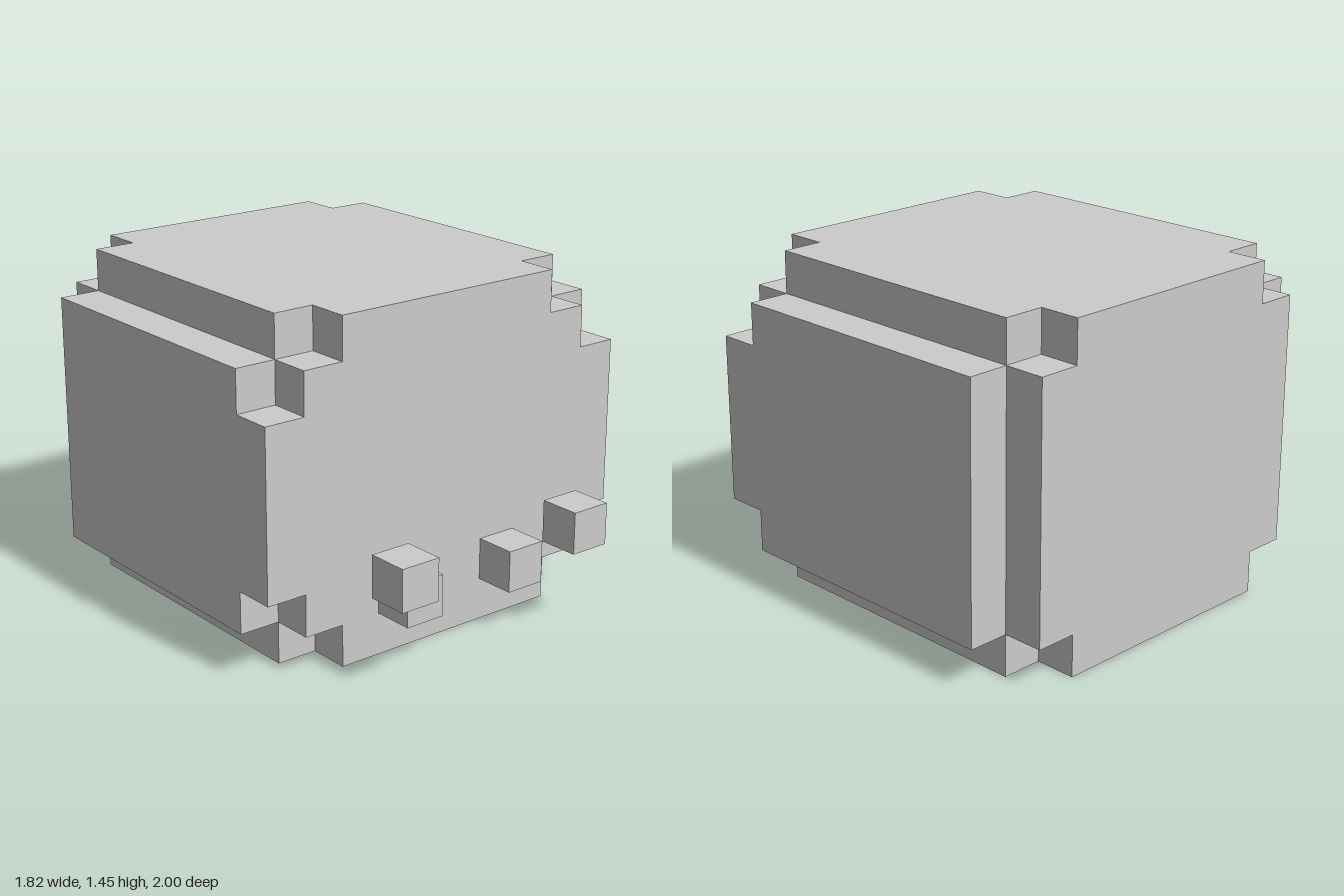
import * as THREE from 'three';

// One block of the grid: the model is 11 blocks deep
const U = 2 / 11;
const material = new THREE.MeshStandardMaterial({ color: 0xcccccc, flatShading: true });

// Outline with stepped corners; steps are [halfWidth, halfHeight] from the top step outwards
function steppedShape(steps) {
  const quarter = [];
  steps.forEach(([w, h], i) => {
    quarter.push([w, h]);
    if (i < steps.length - 1) quarter.push([w, steps[i + 1][1]]);
  });
  const flipped = quarter.slice().reverse();
  const points = [
    ...flipped,
    ...quarter.map(([x, y]) => [-x, y]),
    ...flipped.map(([x, y]) => [-x, -y]),
    ...quarter.map(([x, y]) => [x, -y]),
  ];
  return new THREE.Shape(points.map(([x, y]) => new THREE.Vector2(x * U, (y + 4) * U)));
}

// Slice of the body between two depths
function slice(name, steps, z0, z1) {
  const geometry = new THREE.ExtrudeGeometry(steppedShape(steps), { depth: (z1 - z0) * U, bevelEnabled: false });
  const mesh = new THREE.Mesh(geometry, material);
  mesh.name = name;
  mesh.position.z = z0 * U;
  return mesh;
}

// Single block given by its centre
function block(name, x, y, z) {
  const mesh = new THREE.Mesh(new THREE.BoxGeometry(U, U, U), material);
  mesh.name = name;
  mesh.position.set(x * U, y * U, z * U);
  return mesh;
}

export function createModel() {
  const model = new THREE.Group();
  model.name = 'blockHead';

  // Body: notched front, wide middle, narrower back
  const body = new THREE.Group();
  body.name = 'body';
  body.add(
    slice('bodyFront', [[3, 4], [4, 3], [5, 2]], 2.5, 3.5),
    slice('bodyMiddle', [[4, 4], [5, 3]], -4.5, 2.5),
    slice('bodyBack', [[3, 4], [4, 3]], -5.5, -4.5),
  );
  model.add(body);

  // Two tusks, each a base block and a tip stepped up, out and forward
  for (const [side, s] of [['left', 1], ['right', -1]]) {
    const tusk = new THREE.Group();
    tusk.name = side + 'Tusk';
    tusk.add(block(side + 'TuskBase', 1.5 * s, 1.5, 4), block(side + 'TuskTip', 2.5 * s, 2.5, 5));
    model.add(tusk);
  }
  return model;
}
